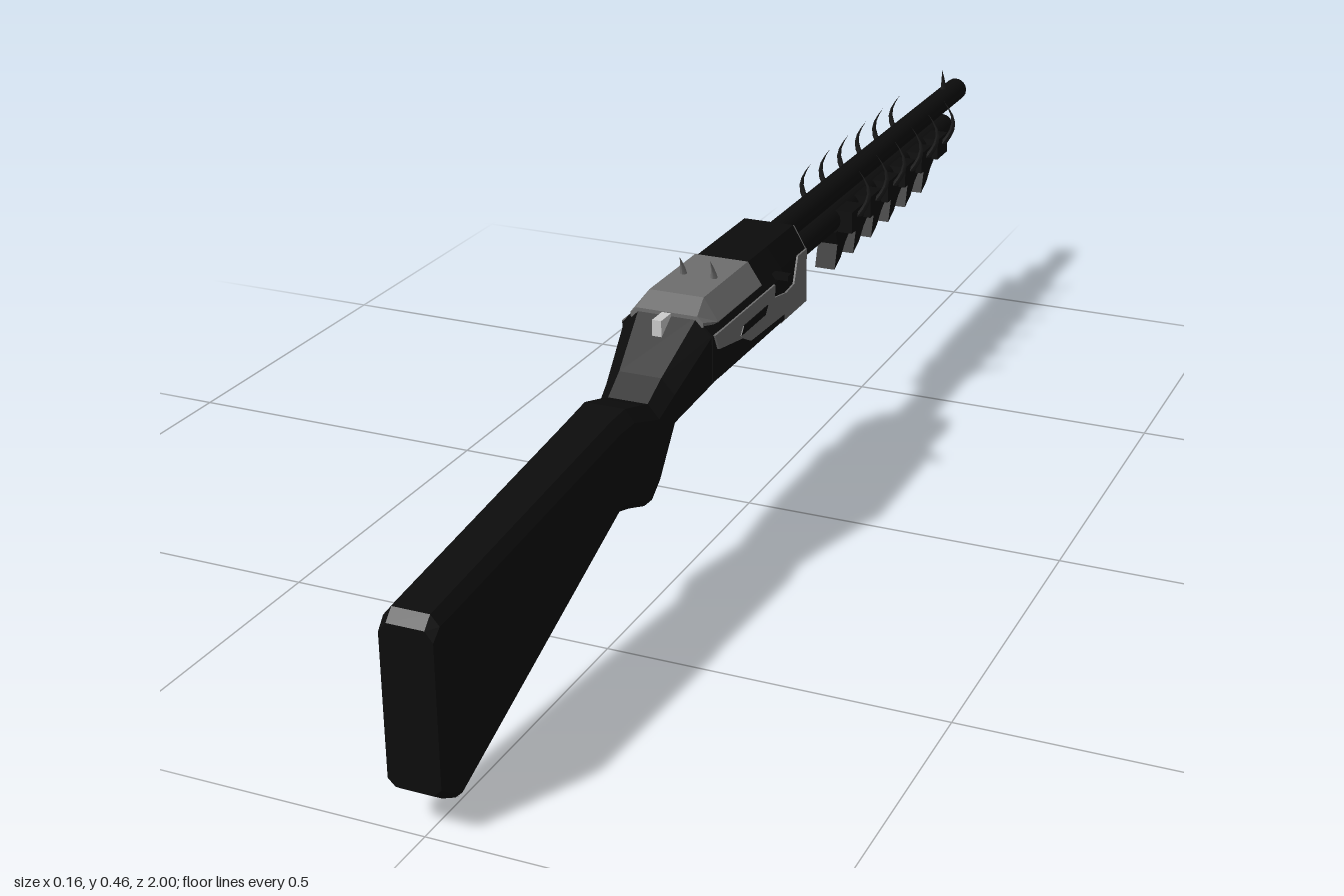
import * as THREE from 'three';

const CX = -0.01; // centre line of the barrels and receiver

export function createModel() {
  const model = new THREE.Group();
  const mat = (name, color) => {
    const m = new THREE.MeshStandardMaterial({ color });
    m.name = name;
    return m;
  };
  const black = mat('blackened wood and steel', 0x0c0c0c);
  const grey = mat('worn steel', 0x6e6e6e);
  const dark = mat('dark spike', 0x1c1c1c);
  const pale = mat('bright steel', 0xcccccc);

  function add(name, geo, material, parent = model) {
    const mesh = new THREE.Mesh(geo, material);
    mesh.name = name;
    parent.add(mesh);
    return mesh;
  }

  // Flat-faced loft through eight-sided sections, ordered by rising z
  // section: [z, top, bottom, half width, half width at top, top bevel, bottom bevel]
  function loft(sections, cx = CX) {
    const pos = [], idx = [];
    for (const [z, t, b, w, tw, ct, cb] of sections) {
      const bw = w - cb;
      const ring = [[w, b + cb], [w, t - ct], [tw, t], [-tw, t],
        [-w, t - ct], [-w, b + cb], [-bw, b], [bw, b]];
      for (const [x, y] of ring) pos.push(cx + x, y, z);
    }
    const last = (sections.length - 1) * 8;
    for (let s = 0; s < last; s += 8) {
      for (let i = 0; i < 8; i++) {
        const j = (i + 1) % 8;
        idx.push(s + i, s + j, s + 8 + j, s + i, s + 8 + j, s + 8 + i);
      }
    }
    for (let i = 1; i < 7; i++) idx.push(0, i + 1, i, last, last + i, last + i + 1);
    const g = new THREE.BufferGeometry();
    g.setAttribute('position', new THREE.Float32BufferAttribute(pos, 3));
    g.setIndex(idx);
    const flat = g.toNonIndexed();
    flat.computeVertexNormals();
    return flat;
  }

  // Plate drawn as (z, y) points, with its thickness centred on x
  function plate(points, x, depth) {
    const shape = new THREE.Shape(points.map(([z, y]) => new THREE.Vector2(z, y)));
    const g = new THREE.ExtrudeGeometry(shape, { depth, bevelEnabled: false });
    return g.rotateY(-Math.PI / 2).translate(x + depth / 2, 0, 0);
  }

  // Curved thorn: bow swells sideways, lean shifts the tip along z
  function thorn(length, radius, bow, lean, down = false) {
    const g = new THREE.ConeGeometry(radius, length, 6, 6).translate(0, length / 2, 0);
    const p = g.attributes.position;
    for (let i = 0; i < p.count; i++) {
      const t = p.getY(i) / length;
      p.setX(i, p.getX(i) + bow * Math.sin(Math.PI * t));
      p.setZ(i, p.getZ(i) + lean * t * t);
    }
    if (down) g.rotateX(Math.PI);
    g.computeVertexNormals();
    return g;
  }

  const tube = (r, z0, z1, y) => new THREE.CylinderGeometry(r, r, z1 - z0, 16)
    .rotateX(Math.PI / 2).translate(CX, y, (z0 + z1) / 2);

  // Stock and wrist
  add('stock', loft([
    [0.265, 0.415, 0.306, 0.069, 0.045, 0.025, 0.012],
    [0.36, 0.355, 0.28, 0.052, 0.032, 0.022, 0.012],
    [0.4, 0.332, 0.21, 0.047, 0.03, 0.02, 0.012],
    [0.425, 0.34, 0.19, 0.046, 0.03, 0.02, 0.012],
    [0.47, 0.353, 0.206, 0.044, 0.03, 0.018, 0.012],
    [0.51, 0.35, 0.217, 0.042, 0.028, 0.016, 0.011],
    [0.955, 0.303, 0.034, 0.039, 0.026, 0.014, 0.01],
    [0.985, 0.3, 0.05, 0.038, 0.026, 0.014, 0.01],
    [1.0, 0.285, 0.062, 0.037, 0.026, 0.014, 0.01],
  ]), black);

  // Thorns below the stock
  const stockThorns = new THREE.Group();
  stockThorns.name = 'stockThorns';
  model.add(stockThorns);
  for (let i = 0; i < 8; i++) {
    const z = 0.925 - i * 0.057;
    const base = 0.034 + (0.955 - z) * 0.411 + 0.012;
    add('stockThorn', thorn(0.058, 0.008, 0, 0.018, true), grey, stockThorns)
      .position.set(-0.006, base, z);
  }

  // Receiver body, front plate and rear steel cap
  add('receiver', loft([
    [-0.1, 0.43, 0.306, 0.06, 0.04, 0.035, 0.014],
    [0, 0.43, 0.306, 0.06, 0.04, 0.035, 0.014],
    [0.005, 0.43, 0.305, 0.07, 0.04, 0.04, 0.014],
    [0.238, 0.43, 0.305, 0.07, 0.04, 0.04, 0.014],
    [0.27, 0.414, 0.306, 0.07, 0.045, 0.025, 0.014],
  ]), black);
  add('receiverFrontPlate', loft([
    [-0.105, 0.428, 0.307, 0.06, 0.04, 0.035, 0.014],
    [-0.1, 0.428, 0.307, 0.06, 0.04, 0.035, 0.014],
  ]), grey);
  add('receiverCap', loft([
    [0.08, 0.432, 0.385, 0.064, 0.042, 0.033, 0.002],
    [0.238, 0.432, 0.385, 0.064, 0.042, 0.033, 0.002],
    [0.272, 0.416, 0.4, 0.056, 0.047, 0.008, 0.002],
  ]), grey);

  // Steel side plates
  add('rightReceiverPlate', plate([
    [0.268, 0.4], [0.255, 0.365], [0.17, 0.35], [0.14, 0.335], [0.005, 0.33], [0.005, 0.362],
    [0.05, 0.37], [0.05, 0.39], [0.268, 0.39],
  ].filter((_, i) => i > 0), CX + 0.071, 0.004), grey);
  add('rightCollarPlate', plate([
    [0.003, 0.31], [0.003, 0.35], [-0.05, 0.355], [-0.065, 0.395], [-0.1, 0.395], [-0.1, 0.31],
  ], CX + 0.061, 0.004), grey);
  add('ejectionPort', plate([
    [0.18, 0.357], [0.09, 0.357], [0.08, 0.369], [0.17, 0.369],
  ], CX + 0.073, 0.003), black);
  add('leftReceiverPlate', plate([
    [0.265, 0.39], [0.255, 0.345], [0.19, 0.325], [0.12, 0.33], [0.12, 0.35],
    [0.19, 0.355], [0.19, 0.37], [0.1, 0.375], [0.1, 0.39],
  ], CX - 0.071, 0.004), grey);

  // Underside plate, bolt handle and hammer
  add('loadingGate', new THREE.BoxGeometry(0.075, 0.004, 0.06).translate(CX, 0.304, 0.12), grey);
  add('boltHandle', new THREE.BoxGeometry(0.045, 0.008, 0.014).translate(0.0555, 0.397, 0.03), black);
  add('hammer', new THREE.BoxGeometry(0.014, 0.024, 0.045).translate(CX, 0.403, 0.282), pale);

  // Trigger guard and trigger
  const guard = new THREE.CatmullRomCurve3([
    [0.245, 0.31], [0.256, 0.272], [0.275, 0.259], [0.31, 0.263], [0.325, 0.278], [0.325, 0.3],
  ].map(([z, y]) => new THREE.Vector3(CX, y, z)));
  add('triggerGuard', new THREE.TubeGeometry(guard, 20, 0.004, 6), grey);
  add('trigger', thorn(0.035, 0.005, 0, 0.008, true), grey).position.set(CX, 0.308, 0.285);

  // Barrel and magazine tube
  add('barrel', tube(0.02, -1, -0.09, 0.4), black);
  add('magazineTube', tube(0.021, -0.925, -0.09, 0.352), black);
  add('magazineCap', tube(0.018, -0.928, -0.924, 0.352), pale);

  // Pump grip ribs, each with a hook below and a thorn on either side
  for (let i = 0; i < 6; i++) {
    const rib = new THREE.Group();
    rib.name = 'pumpRib';
    rib.position.z = -0.38 - i * 0.0855;
    model.add(rib);
    add('ribBlock', new THREE.BoxGeometry(0.082, 0.036, 0.052).translate(CX, 0.351, 0), black, rib);
    add('ribHook', plate([
      [0.036, 0.335], [0.028, 0.312], [0.04, 0.272], [0.012, 0.285],
      [-0.008, 0.305], [-0.03, 0.318], [-0.034, 0.335],
    ], CX, 0.034), black, rib);
    for (const s of [-1, 1]) {
      add('ribThorn', thorn(0.08, 0.007, s * 0.018, 0.006), dark, rib)
        .position.set(CX + s * 0.041, 0.355, -0.004);
    }
  }

  // Thorns on the receiver and at the muzzle
  for (const s of [-1, 1]) {
    add('receiverThorn', thorn(0.04, 0.007, 0, 0.015), grey).position.set(CX + s * 0.024, 0.422, 0.16);
  }
  add('muzzleThorn', thorn(0.044, 0.006, 0, 0.012), dark).position.set(CX, 0.415, -0.927);

  return model;
}
